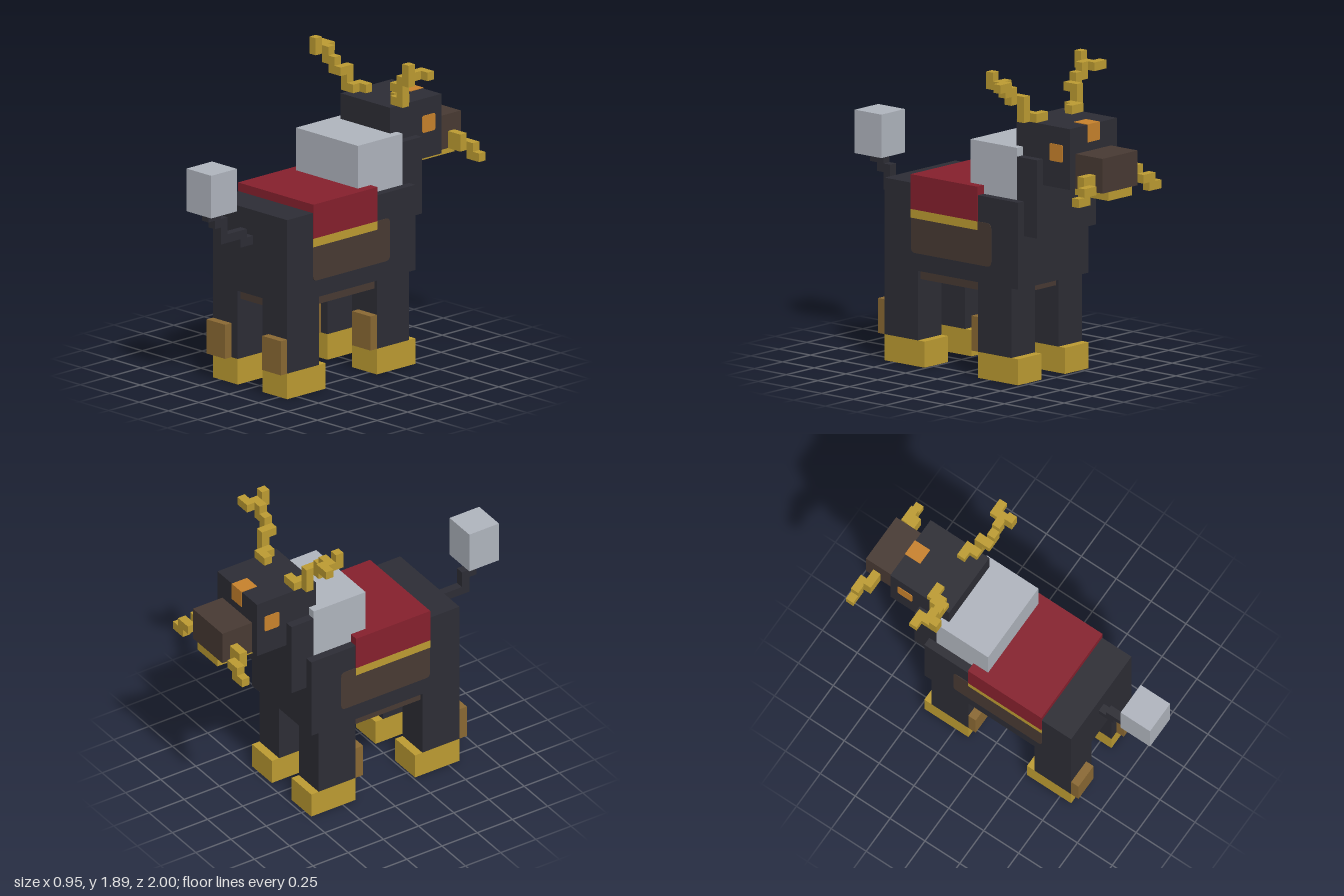
import * as THREE from 'three';

const U = 2 / 38; // one block unit

const mat = (name, color) => {
  const m = new THREE.MeshStandardMaterial({ color });
  m.name = name;
  return m;
};

export function createModel() {
  const root = new THREE.Group();
  root.name = 'hornedBeast';

  const hide = mat('dark hide', 0x2d2d35);
  const brown = mat('brown', 0x483a33);
  const gold = mat('gold', 0xbd9c32);
  const tan = mat('tan', 0x8a6933);
  const fur = mat('pale fur', 0xb0b5be);
  const red = mat('red cloth', 0x86202d);
  const orange = mat('orange eye', 0xc8822c);

  // Box from ranges given in block units
  function box(name, m, [x0, x1], [y0, y1], [z0, z1], parent = root) {
    const mesh = new THREE.Mesh(
      new THREE.BoxGeometry((x1 - x0) * U, (y1 - y0) * U, (z1 - z0) * U), m);
    mesh.position.set((x0 + x1) / 2 * U, (y0 + y1) / 2 * U, (z0 + z1) / 2 * U);
    mesh.name = name;
    parent.add(mesh);
    return mesh;
  }

  // Same box on one side (s = 1) or mirrored (s = -1)
  const sideBox = (s, name, m, [a, b], y, z, parent) =>
    box(name, m, s > 0 ? [a, b] : [-b, -a], y, z, parent);

  // Thin plate with rounded corners lying against a side face at x
  function sidePlate(s, name, m, x, [y0, y1], [z0, z1], r, depth) {
    const w = (z1 - z0) / 2 * U, h = (y1 - y0) / 2 * U, c = r * U;
    const shape = new THREE.Shape();
    shape.moveTo(-w + c, -h);
    shape.lineTo(w - c, -h).quadraticCurveTo(w, -h, w, -h + c);
    shape.lineTo(w, h - c).quadraticCurveTo(w, h, w - c, h);
    shape.lineTo(-w + c, h).quadraticCurveTo(-w, h, -w, h - c);
    shape.lineTo(-w, -h + c).quadraticCurveTo(-w, -h, -w + c, -h);
    const geo = new THREE.ExtrudeGeometry(shape, { depth, bevelEnabled: false, curveSegments: 4 });
    const mesh = new THREE.Mesh(geo, m);
    mesh.rotation.y = s * Math.PI / 2;
    mesh.position.set(s * x * U, (y0 + y1) / 2 * U, (z0 + z1) / 2 * U);
    mesh.name = name;
    root.add(mesh);
  }

  // Trunk, neck and mane
  box('body', hide, [-6, 6], [11, 21], [-9, 11]);
  box('belly', brown, [-5.6, 5.6], [10, 11.1], [-7.6, 10.6]);
  box('neck', hide, [-5, 5], [17, 26], [-11, -8]);
  box('mane', fur, [-5, 5], [21, 27], [-8, -1]);

  // Saddle cloth over the back
  box('saddleCloth', red, [-6.1, 6.1], [21, 22], [-3, 7]);

  // Head
  box('head', hide, [-4, 4], [23, 30], [-15, -7]);
  box('muzzle', brown, [-3, 3], [23, 27], [-19, -15]);
  box('jaw', gold, [-2, 2], [22, 23], [-19, -14]);
  box('browMarkTop', orange, [-1, 1], [30, 30.08], [-15.08, -13]);
  box('browMarkFront', orange, [-1, 1], [28, 30], [-15.08, -15]);

  // Antler and tusk blocks: x, y, z ranges
  const antlerBlocks = [
    [[2, 4], [30, 31], [-10, -9]],
    [[3, 5], [30, 31], [-9, -8]],
    [[4, 5], [31, 33], [-9, -8]],
    [[4, 6], [32, 33], [-8, -7]],
    [[5, 7], [33, 34], [-8, -7]],
    [[6, 8], [34, 35], [-8, -7]],
    [[7, 9], [34, 35], [-9, -8]],
    [[7, 8], [34, 36], [-7, -6]],
  ];
  const tuskBlocks = [
    [[3, 5], [23, 25], [-18, -17]],
    [[4, 6], [23, 24], [-19, -18]],
    [[5, 7], [22, 23], [-19, -18]],
  ];

  for (const s of [1, -1]) {
    const side = s > 0 ? 'left' : 'right';

    // Antlers and tusks
    for (const [part, blocks] of [['Antler', antlerBlocks], ['Tusk', tuskBlocks]]) {
      const group = new THREE.Group();
      group.name = side + part;
      root.add(group);
      blocks.forEach(([x, y, z], i) =>
        sideBox(s, `${side}${part}Block${i + 1}`, gold, x, y, z, group));
    }

    // Eye, cloth side, trim and pannier
    sidePlate(s, side + 'Eye', orange, 4, [26, 28], [-14, -12], 0.25, 0.004);
    sidePlate(s, side + 'Pannier', brown, 6, [13, 18], [-5, 7], 0.6, 0.003);
    sidePlate(s, side + 'ClothTrim', gold, 6, [17, 18], [-3, 7], 0.01, 0.005);
    sidePlate(s, side + 'ClothSide', red, 6, [18, 21], [-3, 7], 0.01, 0.00526);

    // Legs: leg z range, foot z range, spur z range
    for (const [end, leg, foot, spur] of [
      ['Front', [-8, -3], [-9, -3], [-3, -2]],
      ['Back', [6, 11], [5, 11], [11, 12]],
    ]) {
      sideBox(s, `${side}${end}Leg`, hide, [2, 6], [3, 11], leg);
      sideBox(s, `${side}${end}Foot`, gold, [2, 6], [0, 3], foot);
      sideBox(s, `${side}${end}Spur`, tan, [3, 6], [3, 7], spur);
    }
  }

  // Stepped tail with a tuft: y and z ranges
  [
    [[17, 18], [11, 13]],
    [[18, 19], [12, 16]],
    [[19, 20], [15, 16]],
    [[20, 21], [15, 17]],
    [[21, 22], [16, 18]],
  ].forEach(([y, z], i) => box(`tailSegment${i + 1}`, hide, [-0.5, 0.5], y, z));
  box('tailTuft', fur, [-2, 2], [22, 27], [15, 19]);

  return root;
}
